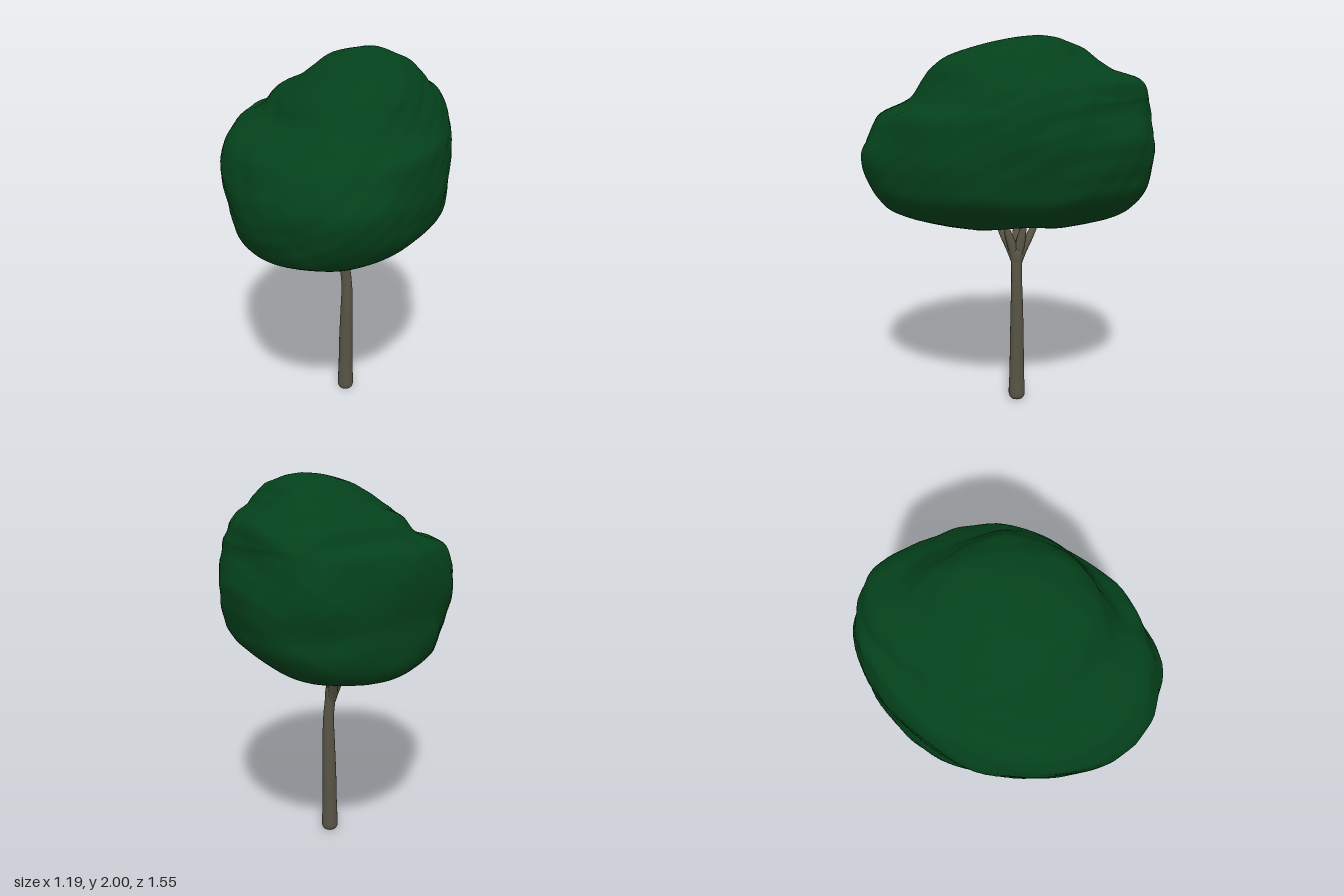
import * as THREE from 'three';

// Skin a stack of closed rings, listed from bottom to top, with smooth normals.
function loft(rings) {
  const n = rings[0].length, pos = [], index = [];
  rings.forEach(ring => ring.forEach(p => pos.push(p.x, p.y, p.z)));
  for (let i = 0; i < rings.length - 1; i++) {
    for (let j = 0; j < n; j++) {
      const a = i * n + j, b = i * n + (j + 1) % n;
      index.push(a, a + n, b, b, a + n, b + n);
    }
  }
  const g = new THREE.BufferGeometry();
  g.setAttribute('position', new THREE.Float32BufferAttribute(pos, 3));
  g.setIndex(index);
  g.computeVertexNormals();
  return g;
}

// Upright limb: each row is [x, y, z, radius].
function limb(rows, steps = 24, sides = 14) {
  const path = new THREE.CatmullRomCurve3(rows.map(r => new THREE.Vector3(r[0], r[1], r[2])));
  const size = new THREE.SplineCurve(rows.map((r, i) => new THREE.Vector2(i, r[3])));
  const rings = [];
  for (let i = 0; i <= steps; i++) {
    const c = path.getPoint(i / steps), r = Math.max(0, size.getPoint(i / steps).y);
    rings.push(Array.from({ length: sides }, (_, j) => {
      const a = j / sides * Math.PI * 2;
      return new THREE.Vector3(c.x + r * Math.cos(a), c.y, c.z + r * Math.sin(a));
    }));
  }
  return loft(rings);
}

// Soft irregular lumps and folds.
function lumps(p) {
  return 0.008 * Math.sin(9 * p.x + 5 * p.y + 2) * Math.sin(8 * p.z - 6 * p.y)
    + 0.006 * Math.sin(17 * p.y + 6 * p.z - 5 * p.x) * Math.cos(11 * p.x + 7 * p.z)
    + 0.003 * Math.sin(24 * p.x + 4 * p.y) * Math.sin(19 * p.z + 13 * p.y)
    + 0.003 * Math.sin(41 * p.y + 23 * p.z) * Math.sin(33 * p.x - 15 * p.y);
}

// Crown levels: [y, xMin, xMax, zMin, zMax]
const LEVELS = [
  [1.0, -0.06, -0.06, 0, 0],
  [0.965, -0.16, -0.01, -0.09, 0.1],
  [0.955, -0.25, 0.02, -0.2, 0.2],
  [0.975, -0.34, 0.1, -0.31, 0.27],
  [1.0, -0.4, 0.22, -0.42, 0.37],
  [1.04, -0.45, 0.35, -0.6, 0.5],
  [1.1, -0.515, 0.455, -0.69, 0.65],
  [1.2, -0.555, 0.555, -0.75, 0.73],
  [1.3, -0.575, 0.575, -0.755, 0.765],
  [1.4, -0.59, 0.585, -0.77, 0.775],
  [1.5, -0.59, 0.595, -0.765, 0.735],
  [1.6, -0.565, 0.585, -0.75, 0.68],
  [1.66, -0.51, 0.57, -0.735, 0.56],
  [1.7, -0.4, 0.555, -0.72, 0.5],
  [1.78, -0.33, 0.52, -0.675, 0.44],
  [1.84, -0.23, 0.46, -0.51, 0.4],
  [1.9, -0.15, 0.4, -0.42, 0.32],
  [1.95, -0.07, 0.335, -0.35, 0.16],
  [1.985, 0.06, 0.26, -0.25, 0],
  [2.0, 0.16, 0.16, -0.14, -0.14],
];

// Fullness of the four diagonals (front +x, front -x, back -x, back +x)
const LOW = [-0.03, 0.05, 0.03, -0.08];
const MID = [-0.05, 0.04, -0.07, 0.03];
const TOP = [0.0, -0.02, -0.08, -0.08];

function crownGeometry(sides = 96, steps = 95) {
  const { smoothstep, lerp } = THREE.MathUtils, rings = [];
  const curves = [0, 1, 2, 3, 4].map(k =>
    new THREE.SplineCurve(LEVELS.map((l, i) => new THREE.Vector2(i, l[k]))));
  for (let i = 0; i <= steps; i++) {
    const [y, x0, x1, z0, z1] = curves.map(c => c.getPoint(i / steps).y);
    const cx = (x0 + x1) / 2, cz = (z0 + z1) / 2;
    const fade = Math.min(1, i / 10, (steps - i) / 10);
    const rise = smoothstep(y, 1.02, 1.35), crest = smoothstep(y, 1.45, 1.75);
    const low = 1 - smoothstep(y, 1.0, 1.16);
    rings.push(Array.from({ length: sides }, (_, j) => {
      const a = j / sides * Math.PI * 2, q = Math.floor(j / sides * 4);
      const full = lerp(lerp(LOW[q], MID[q], rise), TOP[q], crest);
      const skew = 1 + full * Math.sin(2 * a) ** 2;
      const p = new THREE.Vector3(
        cx + (x1 - x0) / 2 * Math.cos(a) * skew, y,
        cz + (z1 - z0) / 2 * Math.sin(a) * skew);
      const d = lumps(p) * fade;
      p.x += d * Math.cos(a);
      p.z += d * Math.sin(a);
      p.y += d * 0.6;
      // hollow in the underside where the branches enter, open to one side
      p.y += 0.1 * low * Math.exp(-((p.x - 0.1) ** 2) / 0.03 - ((p.z + 0.05) ** 2) / 0.012);
      return p;
    }));
  }
  return loft(rings);
}

export function createModel() {
  const leaf = new THREE.MeshStandardMaterial({ color: 0x04411b });
  leaf.name = 'leaf green';
  const bark = new THREE.MeshStandardMaterial({ color: 0x575445 });
  bark.name = 'bark grey';

  const tree = new THREE.Group();
  tree.name = 'tree';
  const add = (name, geometry, material) => {
    const mesh = new THREE.Mesh(geometry, material);
    mesh.name = name;
    tree.add(mesh);
    return mesh;
  };

  add('crown', crownGeometry(), leaf);

  // small leaf clump hanging in the fork
  const clump = add('leafClump', new THREE.SphereGeometry(0.055, 16, 12), leaf);
  clump.position.set(-0.01, 1.04, -0.06);

  // gently bent trunk with a rounded foot
  add('trunk', limb([
    [0.046, 0, -0.044, 0], [0.046, 0.004, -0.044, 0.032], [0.046, 0.03, -0.044, 0.045],
    [0.046, 0.15, -0.044, 0.041], [0.047, 0.35, -0.044, 0.038], [0.051, 0.55, -0.043, 0.034],
    [0.051, 0.68, -0.042, 0.03], [0.041, 0.78, -0.042, 0.03], [0.03, 0.85, -0.043, 0.035],
    [0.022, 0.9, -0.045, 0.012],
  ], 54, 18), bark);

  // branches fanning up into the crown
  const tips = [[-0.05, 0.06], [0.03, 0.02], [0.03, -0.085], [-0.02, -0.16], [-0.055, -0.05]];
  tips.forEach(([x, z], i) => {
    const row = (y, t, r) => [0.035 + (x - 0.035) * t, y, -0.043 + (z + 0.043) * t, r];
    add('branch' + (i + 1), limb([
      row(0.77, 0.02, 0.022), row(0.85, 0.26, 0.027), row(0.92, 0.58, 0.025),
      row(0.99, 0.9, 0.017), row(1.08, 1.15, 0.013),
    ], 14, 10), bark);
  });

  return tree;
}
